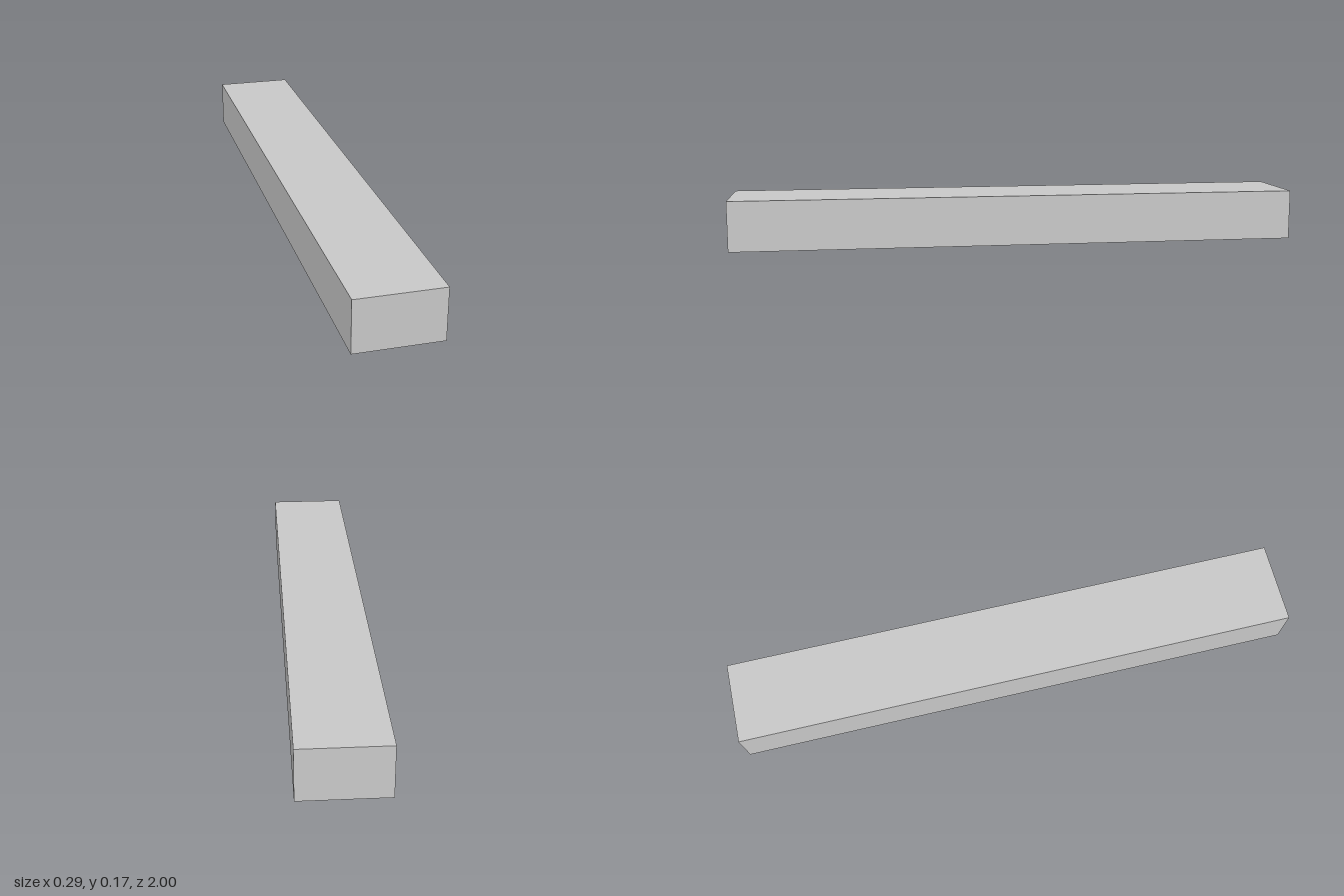
import * as THREE from 'three';

const W = 0.287, H = 0.175, L = 2, WALL = 0.01, CEILING = 0.15;

export function createModel() {
  const model = new THREE.Group();
  const grey = new THREE.MeshStandardMaterial({ color: 0xcccccc });

  const add = (name, geometry, x = 0, y = 0, z = 0, parent = model) => {
    const mesh = new THREE.Mesh(geometry, grey);
    mesh.name = name;
    mesh.position.set(x, y, z);
    parent.add(mesh);
    return mesh;
  };
  const rectangle = (path, w, l) => path
    .moveTo(-w / 2, -l / 2).lineTo(w / 2, -l / 2)
    .lineTo(w / 2, l / 2).lineTo(-w / 2, l / 2).closePath();

  // Four thin side walls around the opening underneath
  const frame = rectangle(new THREE.Shape(), W, L);
  frame.holes.push(rectangle(new THREE.Path(), W - 2 * WALL, L - 2 * WALL));
  const walls = new THREE.ExtrudeGeometry(frame, { depth: CEILING, bevelEnabled: false });
  add('housingWalls', walls.rotateX(-Math.PI / 2));

  // Closed top of the housing
  add('housingTop', new THREE.BoxGeometry(W, H - CEILING, L), 0, (H + CEILING) / 2);

  // Two lamp tubes, with contact pins reaching into the end walls
  const tube = new THREE.CylinderGeometry(0.028, 0.028, 1.94, 32).rotateX(Math.PI / 2);
  const pin = new THREE.CylinderGeometry(0.004, 0.004, 0.024, 10).rotateX(Math.PI / 2);
  for (const side of [-1, 1]) {
    const lamp = new THREE.Group();
    lamp.name = side > 0 ? 'leftLamp' : 'rightLamp';
    lamp.position.set(side * 0.057, 0.064, 0);
    add('lampTube', tube, 0, 0, 0, lamp);
    for (const end of [-1, 1])
      for (const offset of [-0.01, 0.01])
        add('contactPin', pin, offset, 0, end * 0.98, lamp);
    model.add(lamp);
  }

  return model;
}
